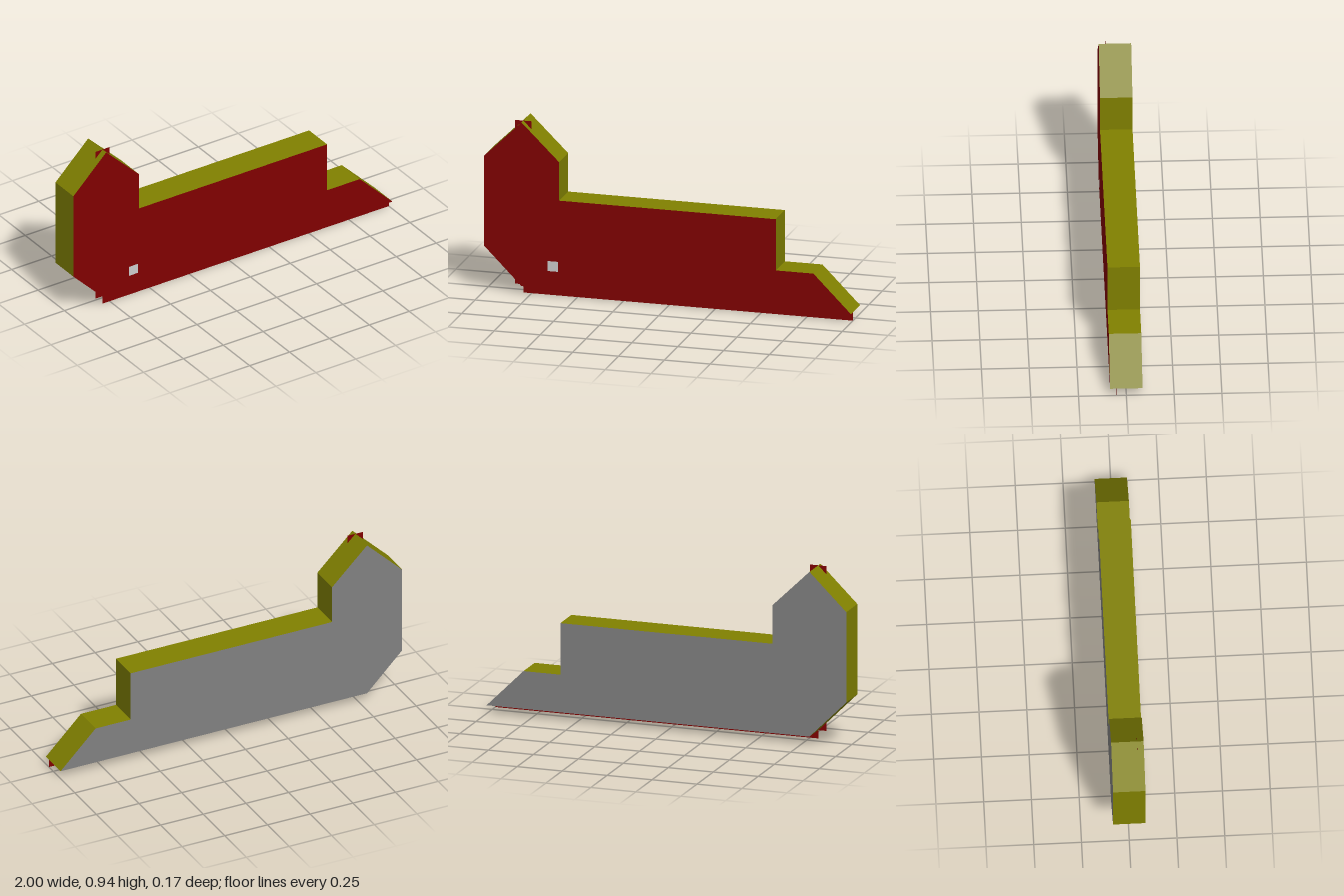
import * as THREE from 'three';

const MAROON = 0x800000, OLIVE = 0x808000, GREY = 0x808080, SILVER = 0xc0c0c0;
const DEPTH = 0.17, BASE = 0.045;

const material = (color, side = THREE.FrontSide) => new THREE.MeshStandardMaterial({ color, side });

// Thin rectangle facing +z, given by its x and y limits
function panel(name, x0, x1, y0, y1, z, color) {
  const mesh = new THREE.Mesh(new THREE.PlaneGeometry(x1 - x0, y1 - y0), material(color, THREE.DoubleSide));
  mesh.position.set((x0 + x1) / 2, (y0 + y1) / 2, z);
  mesh.name = name;
  return mesh;
}

// Thin rectangle on the underside
function underPlate(name, x0, x1, halfWidth) {
  const mesh = new THREE.Mesh(new THREE.PlaneGeometry(x1 - x0, halfWidth * 2), material(SILVER));
  mesh.rotation.x = Math.PI / 2;
  mesh.position.set((x0 + x1) / 2, BASE - 0.001, 0);
  mesh.name = name;
  return mesh;
}

export function createModel() {
  const model = new THREE.Group();
  model.name = 'steppedBlock';

  // Body: stepped outline with a pointed tower at one end and a ramp at the other
  const outline = [
    [-0.795, BASE], [1, BASE], [0.795, 0.25], [0.59, 0.25], [0.59, 0.53],
    [-0.59, 0.53], [-0.59, 0.74], [-0.795, 0.94], [-1, 0.74], [-1, 0.25],
  ].map(([x, y]) => new THREE.Vector2(x, y));
  const geometry = new THREE.ExtrudeGeometry(new THREE.Shape(outline), { depth: DEPTH, bevelEnabled: false });
  geometry.translate(0, 0, -DEPTH / 2);

  // Separate colours for back cap, front cap and rim
  const [caps, rim] = geometry.groups;
  geometry.clearGroups();
  geometry.addGroup(0, caps.count / 2, 0);
  geometry.addGroup(caps.count / 2, caps.count / 2, 1);
  geometry.addGroup(rim.start, rim.count, 2);
  const body = new THREE.Mesh(geometry, [material(GREY), material(MAROON), material(OLIVE)]);
  body.name = 'body';
  model.add(body);

  // Thin upright fins: one through the tower, one below the base
  model.add(panel('towerFin', -0.84, -0.75, BASE, 0.94, 0.05, MAROON));
  model.add(panel('baseFin', -0.795, 1, 0, BASE, 0.05, MAROON));

  // Pale patches on the front and the underside
  model.add(panel('frontPatch', -0.652, -0.596, 0.14, 0.195, DEPTH / 2 + 0.001, SILVER));
  model.add(underPlate('rampUnderPlate', 0.52, 0.97, 0.028));
  model.add(underPlate('towerUnderPlate', -0.79, 0.12, 0.012));

  return model;
}
